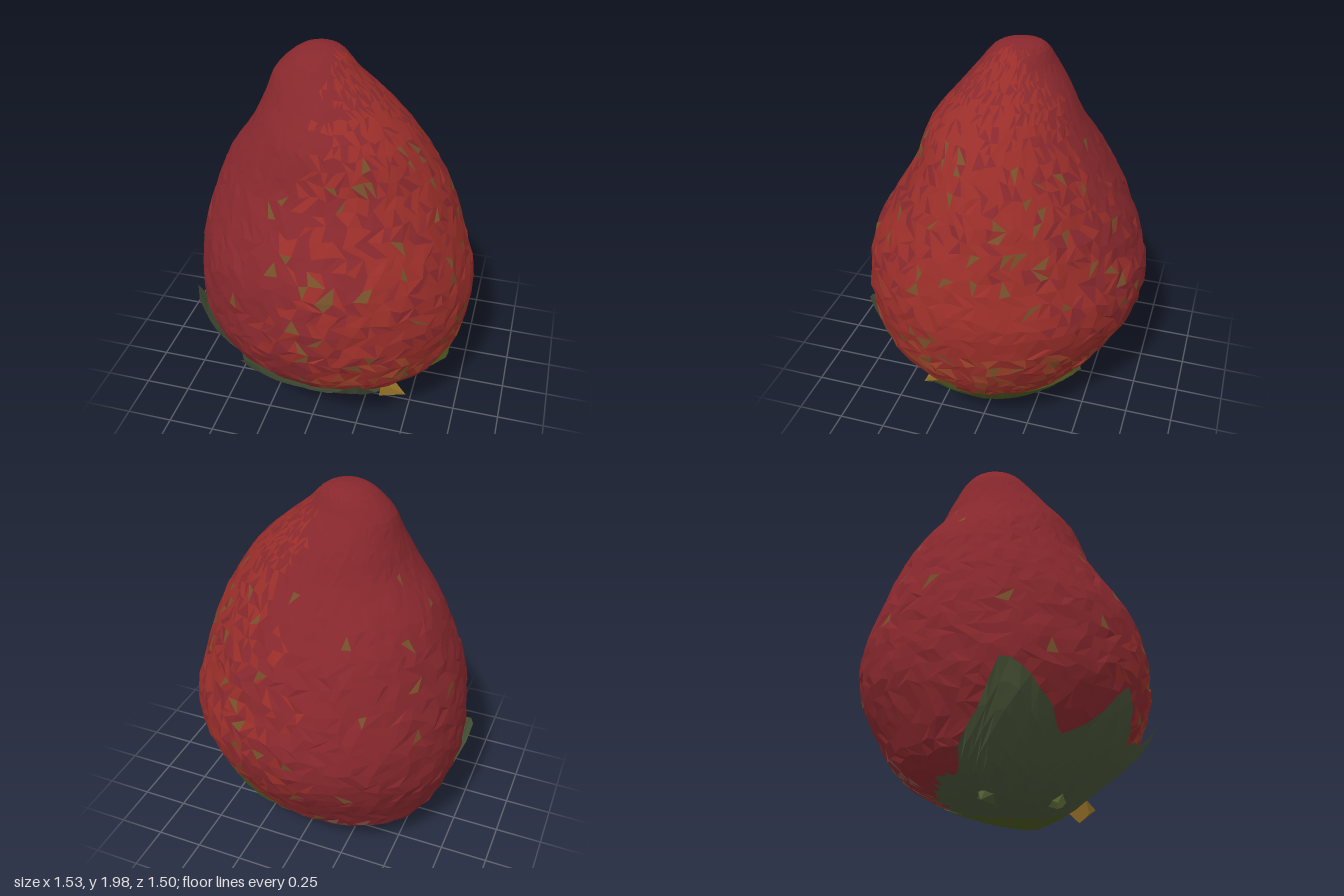
import * as THREE from 'three';

// Cross-sections from underside to tip: y, xMin, xMax, zMin, zMax
const SECTIONS = [
  [0.05, 0.05, 0.05, 0, 0], [0.055, -0.27, 0.34, -0.1, 0.13], [0.095, -0.43, 0.42, -0.29, 0.27],
  [0.2, -0.6, 0.54, -0.48, 0.43], [0.4, -0.7, 0.69, -0.62, 0.65], [0.6, -0.745, 0.75, -0.72, 0.735],
  [0.8, -0.74, 0.76, -0.74, 0.74], [1, -0.71, 0.71, -0.68, 0.7], [1.2, -0.65, 0.64, -0.6, 0.59],
  [1.4, -0.57, 0.55, -0.49, 0.47], [1.6, -0.43, 0.42, -0.37, 0.4], [1.75, -0.36, 0.27, -0.29, 0.28],
  [1.87, -0.31, 0.13, -0.21, 0.18], [1.97, -0.2, 0.03, -0.15, 0.09], [2, -0.08, -0.08, -0.04, -0.04],
];
// Upper edge of the leaves: angle in degrees (0 = +x, 90 = +z), height
const LEAF_EDGE = [
  [-85, 0.09], [-76, 0.18], [-60, 0.26], [-42, 0.31], [-25, 0.31], [-8, 0.35], [6, 0.33], [18, 0.36],
  [30, 0.2], [40, 0.13], [50, 0.17], [58, 0.4], [68, 0.56], [76, 0.4], [90, 0.34], [104, 0.42],
  [114, 0.55], [122, 0.4], [130, 0.28], [140, 0.34], [152, 0.46], [164, 0.58], [172, 0.36],
  [182, 0.14], [230, 0.09], [275, 0.09],
];

const hash = (a, b, c = 0) => {
  const s = Math.sin(a * 127.1 + b * 311.7 + c * 74.7) * 43758.5453;
  return s - Math.floor(s);
};

// Smooth section at s in 0..1
function section(s) {
  const last = SECTIONS.length - 1;
  const f = THREE.MathUtils.clamp(s, 0, 1) * last;
  const i = Math.min(Math.floor(f), last - 1), t = f - i;
  const row = k => SECTIONS[THREE.MathUtils.clamp(k, 0, last)];
  return SECTIONS[0].map((_, k) => {
    const [a, b, c, d] = [row(i - 1)[k], row(i)[k], row(i + 1)[k], row(i + 2)[k]];
    return b + 0.5 * t * (c - a + t * (2 * a - 5 * b + 4 * c - d + t * (3 * (b - c) + d - a)));
  });
}

// Point on the fruit, pushed outward by a small amount; the plan is slightly skewed along one diagonal
function surfacePoint(s, angle, push = 0) {
  const [y, x0, x1, z0, z1] = section(s);
  const c = Math.cos(angle), n = Math.sin(angle);
  const skew = 1 + Math.sin(2 * angle) * (0.03 + 0.03 * THREE.MathUtils.clamp(1 - y / 0.6, 0, 1));
  const down = s < 0.2 ? -push * (1 - s * 5) : 0;
  return new THREE.Vector3(
    (x0 + x1) / 2 + c * ((x1 - x0) / 2 * skew + push), y + down,
    (z0 + z1) / 2 + n * ((z1 - z0) / 2 * skew + push));
}

function sAtHeight(y) {
  let lo = 0.07, hi = 1;
  for (let k = 0; k < 24; k++) {
    const mid = (lo + hi) / 2;
    if (section(mid)[0] < y) lo = mid; else hi = mid;
  }
  return lo;
}

function leafHeight(deg) {
  const k = Math.max(1, LEAF_EDGE.findIndex(([a]) => a >= deg));
  const [a, ha] = LEAF_EDGE[k - 1], [b, hb] = LEAF_EDGE[k];
  return THREE.MathUtils.mapLinear(deg, a, b, ha, hb);
}

// Grid of triangles wrapped around the axis, sorted into named meshes by a rule
function facetedShell(group, rows, cols, point, pick, materials) {
  const buckets = {};
  const grid = [];
  for (let i = 0; i <= rows; i++) {
    grid.push(Array.from({ length: cols }, (_, j) => point(i, j)));
  }
  const add = (a, b, c, i, j, k) => {
    const mid = a.clone().add(b).add(c).divideScalar(3);
    const name = pick(mid, hash(i, j, k + 5));
    (buckets[name] ||= []).push(a, b, c);
  };
  for (let i = 0; i < rows; i++) {
    for (let j = 0; j < cols; j++) {
      const n = (j + 1) % cols;
      const a = grid[i][j], b = grid[i][n], c = grid[i + 1][j], d = grid[i + 1][n];
      if (hash(i, j, 3) < 0.5) {
        add(a, c, b, i, j, 0);
        add(b, c, d, i, j, 1);
      } else {
        add(a, c, d, i, j, 0);
        add(a, d, b, i, j, 1);
      }
    }
  }
  for (const [name, points] of Object.entries(buckets)) {
    const geometry = new THREE.BufferGeometry().setFromPoints(points);
    geometry.computeVertexNormals();
    const mesh = new THREE.Mesh(geometry, materials[name]);
    mesh.name = name;
    group.add(mesh);
  }
}

const paint = (color, side = THREE.FrontSide) =>
  new THREE.MeshStandardMaterial({ color, side, flatShading: true });

const degrees = p => {
  const d = THREE.MathUtils.radToDeg(Math.atan2(p.z, p.x));
  return d < -85 ? d + 360 : d;
};

export function createModel() {
  const model = new THREE.Group();
  model.name = 'strawberry';

  // Fruit flesh with irregular facets and scattered seeds
  const fruit = new THREE.Group();
  fruit.name = 'fruit';
  const rows = 46, cols = 72;
  facetedShell(fruit, rows, cols, (i, j) => {
    const pole = i === 0 || i === rows;
    const s = pole ? i / rows : (i + (hash(i, j) - 0.5) * 0.5) / rows;
    const angle = (j + (i % 2) / 2 + (hash(i, j, 1) - 0.5) * 0.5) / cols * Math.PI * 2;
    const calm = Math.min(1, i / 8, ((rows - i) / 20) ** 2);
    return surfacePoint(s, angle, (hash(i, j, 2) - 0.5) * 0.015 * calm);
  }, (p, r) => {
    const deg = degrees(p);
    const sunny = Math.cos(THREE.MathUtils.degToRad(deg - 5));
    if (p.y < 0.28 && deg > 225 && r < 0.35) return 'paleFlesh';
    if (p.y > 0.3 && p.y < 1.6 && r > 0.965 - 0.02 * sunny) return 'seeds';
    if (p.y < 0.62 && sunny > 0.2 && r < 0.3) return 'orangeFlesh';
    return sunny - p.y * 0.35 + (r - 0.5) * 1.4 > 0 ? 'brightFlesh' : 'crimsonFlesh';
  }, {
    paleFlesh: paint(0x8a5648), seeds: paint(0x76502a), orangeFlesh: paint(0xa0442a),
    brightFlesh: paint(0x9a2e29), crimsonFlesh: paint(0x88282d),
  });
  model.add(fruit);

  // Leaves hugging the underside, with tips standing off the fruit
  const calyx = new THREE.Group();
  calyx.name = 'calyx';
  const leafRows = 9, leafCols = 96;
  facetedShell(calyx, leafRows, leafCols, (i, j) => {
    const angle = j / leafCols * Math.PI * 2;
    const edge = leafHeight(degrees(surfacePoint(0.3, angle))) + (hash(j, 7) - 0.5) * 0.03;
    const v = i / leafRows;
    const flare = 0.01 + 0.045 * v ** 3 * Math.min(1, edge / 0.53) ** 2;
    const ripple = (hash(i, j, 4) - 0.5) * 0.01 * Math.min(1, i / 4);
    return surfacePoint(sAtHeight(edge) * v, angle, flare + ripple);
  }, (p, r) => degrees(p) < 40 + r * 12 ? 'oliveLeaf' : 'greyGreenLeaf', {
    oliveLeaf: paint(0x4b5620, THREE.DoubleSide), greyGreenLeaf: paint(0x4a5539, THREE.DoubleSide),
  });
  model.add(calyx);

  // Small loose bits: pointed leaf end, dry bract and stalk stub
  const bits = [
    ['leafPoint', new THREE.ConeGeometry(0.1, 0.2, 5), 0x4d5a34, [-0.34, 0.075, 0.01], [-0.7, -0.45, 0.05]],
    ['dryBract', new THREE.ConeGeometry(0.07, 0.14, 5), 0x8a6a24, [0.43, 0.15, 0.32], [0.6, 0.1, 0.3]],
    ['stalkStub', new THREE.CylinderGeometry(0.06, 0.08, 0.06, 7), 0x66783c, [-0.02, 0.12, 0.28], [0, -0.6, 0.8]],
  ];
  const up = new THREE.Vector3(0, 1, 0);
  for (const [name, geometry, color, position, direction] of bits) {
    const mesh = new THREE.Mesh(geometry, paint(color));
    mesh.name = name;
    mesh.position.set(...position);
    mesh.quaternion.setFromUnitVectors(up, new THREE.Vector3(...direction).normalize());
    model.add(mesh);
  }
  return model;
}
